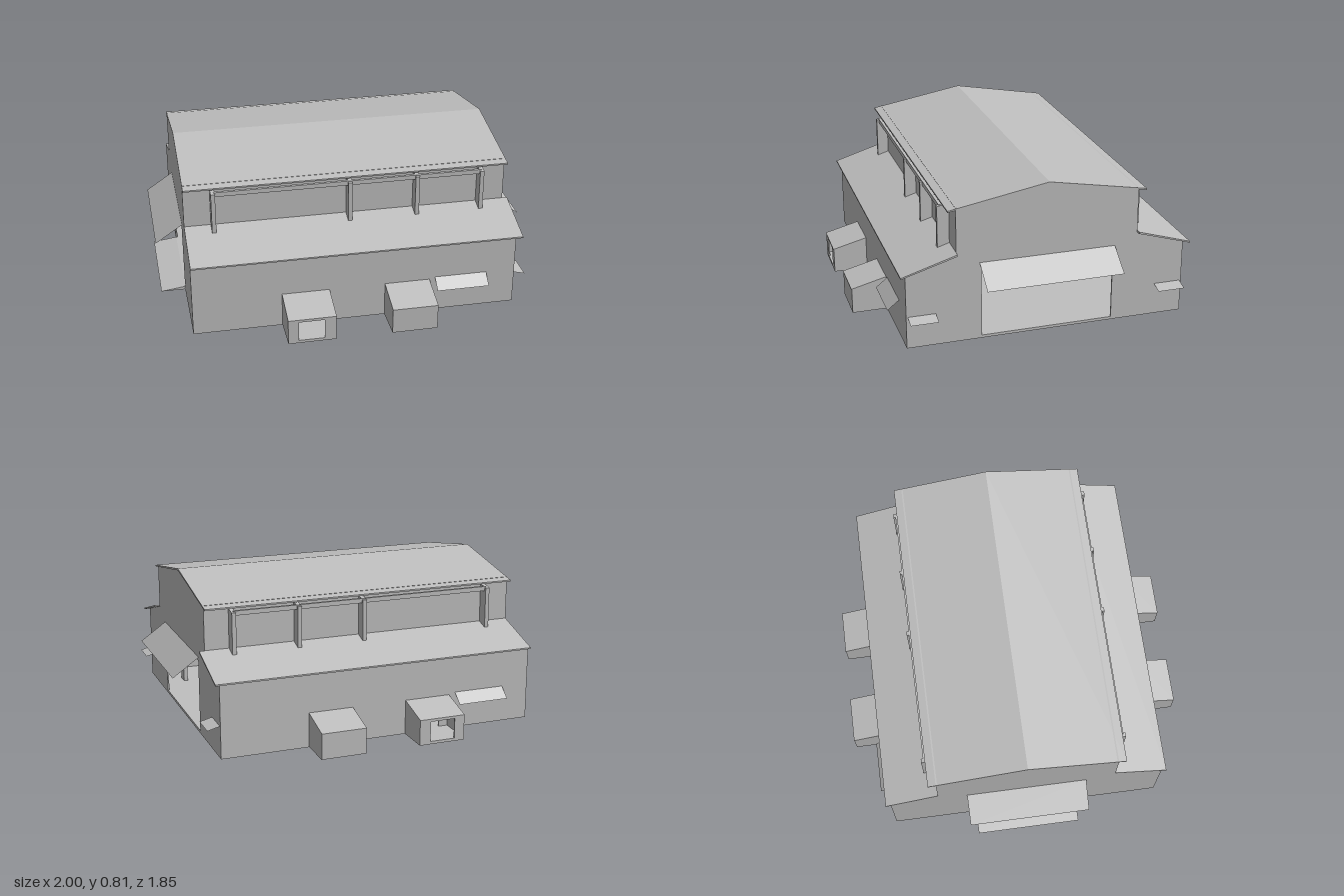
import * as THREE from 'three';

const grey = new THREE.MeshStandardMaterial({ color: 0xbfbfbf, side: THREE.DoubleSide });
grey.name = 'concreteGrey';

const X0 = -0.855, X1 = 0.86, ZW = 0.74, ZC = 0.48;

function add(parent, name, geometry) {
  const mesh = new THREE.Mesh(geometry, grey);
  mesh.name = name;
  parent.add(mesh);
  return mesh;
}

const rect = (x0, y0, x1, y1) =>
  [[x0, y0], [x1, y0], [x1, y1], [x0, y1]].map(p => new THREE.Vector2(...p));

function outline(points, holes = []) {
  const shape = new THREE.Shape(points.map(p => new THREE.Vector2(p[0], p[1])));
  holes.forEach(h => shape.holes.push(new THREE.Path(rect(...h))));
  return shape;
}

// Solid with a (z, y) section running along x
function prism(parent, name, points, x0, x1, holes) {
  const g = new THREE.ExtrudeGeometry(outline(points, holes), { depth: x1 - x0, bevelEnabled: false });
  g.rotateY(-Math.PI / 2);
  g.translate(x1, 0, 0);
  return add(parent, name, g);
}

// Upright wall in the xy plane with rectangular holes
function wall(parent, name, x0, y0, x1, y1, z, holes) {
  const pts = [[x0, y0], [x1, y0], [x1, y1], [x0, y1]];
  const g = new THREE.ExtrudeGeometry(outline(pts, holes), { depth: 0.008, bevelEnabled: false });
  g.translate(0, 0, z - 0.008);
  return add(parent, name, g);
}

function box(parent, name, x0, x1, y0, y1, z0, z1) {
  const g = new THREE.BoxGeometry(x1 - x0, y1 - y0, z1 - z0);
  g.translate((x0 + x1) / 2, (y0 + y1) / 2, (z0 + z1) / 2);
  return add(parent, name, g);
}

// Thin sheet through four corners
function sheet(parent, name, a, b, c, d) {
  const g = new THREE.BufferGeometry();
  g.setAttribute('position', new THREE.Float32BufferAttribute([...a, ...b, ...c, ...d], 3));
  g.setIndex([0, 1, 2, 0, 2, 3]);
  g.computeVertexNormals();
  return add(parent, name, g);
}

// Awning on an end wall: outer edge (xo, yo), inner edge (xi, yi)
const endAwning = (parent, name, xi, yi, xo, yo, z0, z1) =>
  sheet(parent, name, [xi, yi, z1], [xo, yo, z1], [xo, yo, z0], [xi, yi, z0]);

// Lean-to porch, optionally with a doorway
function porch(parent, x0, x1, door) {
  const p = new THREE.Group();
  p.name = 'porch';
  wall(p, 'porchFront', x0, 0, x1, 0.133, 0.925, door ? [door] : []);
  const side = [[ZW, 0], [0.925, 0], [0.925, 0.133], [ZW, 0.18]];
  prism(p, 'porchSide', side, x0, x0 + 0.006, []);
  prism(p, 'porchSide', side, x1 - 0.006, x1, []);
  prism(p, 'porchRoof', [[ZW, 0.18], [0.927, 0.132], [0.927, 0.137], [ZW, 0.185]], x0, x1, []);
  box(p, 'porchFloor', x0, x1, 0, 0.015, ZW, 0.925);
  parent.add(p);
}

// Everything along one long side, built facing +z
function longSide(name) {
  const g = new THREE.Group();
  g.name = name;
  return g;
}

function buildSide(g, mirrorX) {
  // mirrorX places features correctly when the group is turned to the back
  const m = mirrorX ? -1 : 1;
  const span = (a, b) => m > 0 ? [a, b] : [-b, -a];
  const [w0, w1] = span(X0, X1);
  const [d0, d1] = span(-0.335, -0.2);
  const door = [d0, 0.015, d1, 0.122];
  wall(g, 'lowerWall', w0, 0, w1, 0.41, ZW, [door]);
  wall(g, 'upperWall', w0, 0.48, w1, 0.725, ZC, []);

  porch(g, ...span(-0.39, -0.14), door);
  porch(g, ...span(0.155, 0.395), null);

  // Roof slabs
  prism(g, 'lowerRoof', [[ZC, 0.48], [0.768, 0.394], [0.768, 0.402], [ZC, 0.49]], ...span(X0, 0.888), []);
  prism(g, 'upperRoof', [[0, 0.8], [0.522, 0.708], [0.522, 0.716], [0, 0.81]], ...span(X0, 0.865), []);

  // Posts run from the ground up past the lower roof, joined by a rail
  for (const x of [-0.705, 0.01, 0.37, 0.72]) {
    prism(g, 'post', [[ZC, -0.001], [0.542, -0.001], [0.542, 0.69], [ZC, 0.702]], ...span(x - 0.011, x + 0.011), []);
  }
  const [r0, r1] = span(-0.7, 0.72);
  box(g, 'rail', r0, r1, 0.672, 0.696, 0.515, 0.53);

  // Window awning sits towards the right-hand end of each side
  const [a, b] = [0.425, 0.705];
  sheet(g, 'windowAwning', [a, 0.195, ZW], [a, 0.145, 0.802], [b, 0.145, 0.802], [b, 0.195, ZW]);
}

export function createModel() {
  const model = new THREE.Group();
  model.name = 'warehouse';

  box(model, 'floor', X0, X1, 0, 0.015, -ZW, ZW);

  const front = longSide('frontSide');
  buildSide(front, false);
  const back = longSide('backSide');
  buildSide(back, true);
  back.rotation.y = Math.PI;
  model.add(front, back);

  // Stepped gable ends with large doorways
  const gable = [[-ZW, 0], [ZW, 0], [ZW, 0.402], [ZC, 0.482], [ZC, 0.718],
    [0, 0.803], [-ZC, 0.718], [-ZC, 0.482], [-ZW, 0.402]];
  prism(model, 'rightGable', gable, X1 - 0.008, X1, [[-0.35, 0.015, 0.35, 0.4]]);
  prism(model, 'leftGable', gable, X0, X0 + 0.008, [[-0.285, 0.015, 0.285, 0.4]]);

  // End awnings
  endAwning(model, 'doorAwning', X1, 0.42, 1, 0.322, -0.36, 0.36);
  endAwning(model, 'doorAwning', X0, 0.42, -1, 0.322, -0.325, 0.325);
  for (const s of [-1, 1]) {
    endAwning(model, 'smallAwning', X1, 0.172, 0.925, 0.155, s * 0.66 - 0.072, s * 0.66 + 0.072);
  }

  // Loading ramp
  const rampShape = outline([[-0.985, 0], [X0, 0], [X0, 0.018]]);
  const ramp = new THREE.ExtrudeGeometry(rampShape, { depth: 0.57, bevelEnabled: false });
  ramp.translate(0, 0, -0.285);
  add(model, 'ramp', ramp);

  return model;
}
